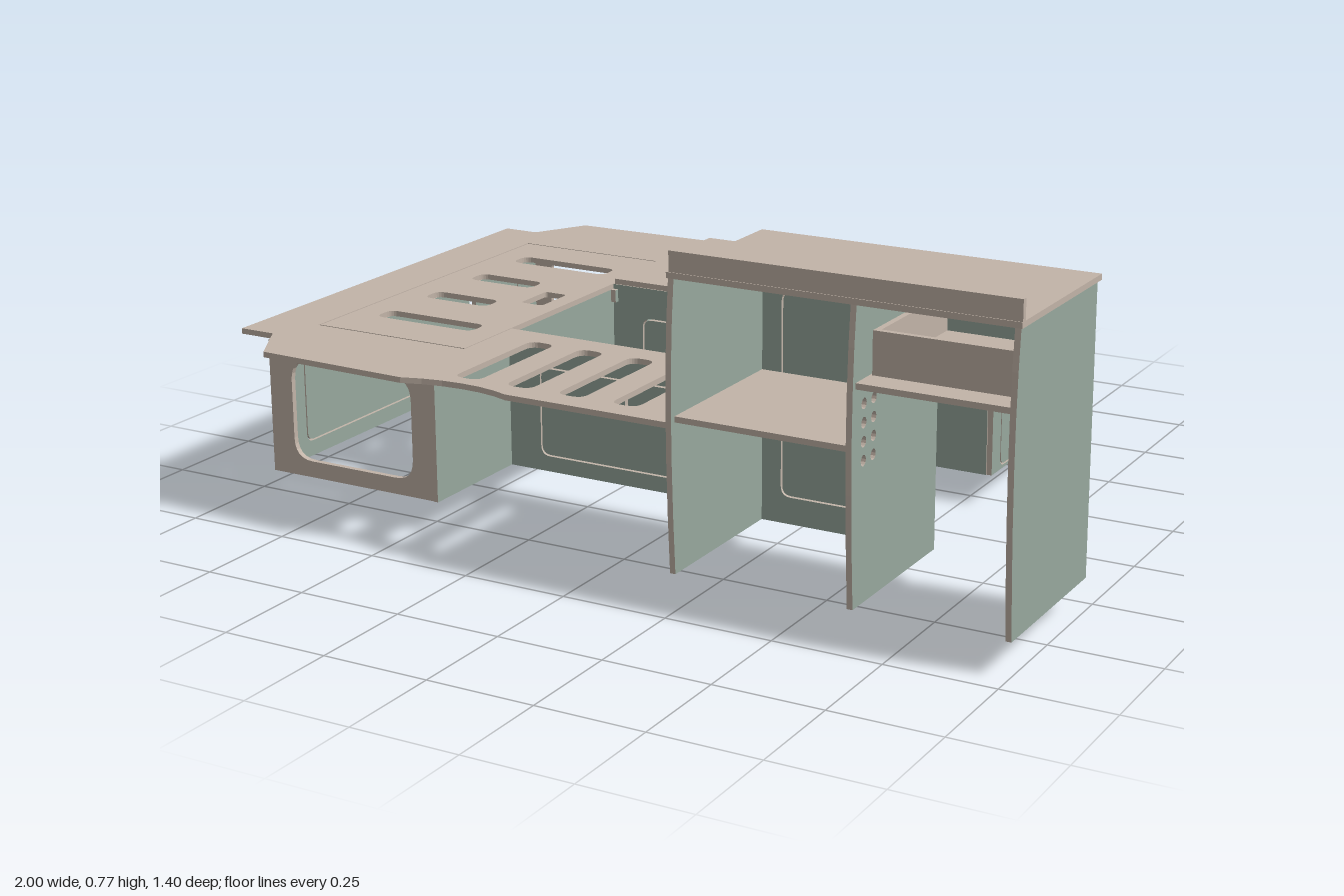
import * as THREE from 'three';

const green = new THREE.MeshStandardMaterial({ name: 'sage green', color: 0x97a89d });
const tan = new THREE.MeshStandardMaterial({ name: 'plywood tan', color: 0xc2b4a8 });
const T = 0.013; // board thickness
const GAP = 0.004;

// Rounded rectangle from corner to corner
function rounded(u0, v0, u1, v1, r, Kind = THREE.Path) {
  const p = new Kind();
  p.moveTo(u0 + r, v0);
  p.lineTo(u1 - r, v0);
  p.quadraticCurveTo(u1, v0, u1, v0 + r);
  p.lineTo(u1, v1 - r);
  p.quadraticCurveTo(u1, v1, u1 - r, v1);
  p.lineTo(u0 + r, v1);
  p.quadraticCurveTo(u0, v1, u0, v1 - r);
  p.lineTo(u0, v0 + r);
  p.quadraticCurveTo(u0, v0, u0 + r, v0);
  return p;
}
const poly = (pts) => new THREE.Shape(pts.map(([u, v]) => new THREE.Vector2(u, v)));
const rect = (u0, v0, u1, v1) => poly([[u0, v0], [u1, v0], [u1, v1], [u0, v1]]);
const slot = (u, v, w, h) => rounded(u - w / 2, v - h / 2, u + w / 2, v + h / 2, Math.min(w, h) * 0.4);

export function createModel() {
  const model = new THREE.Group();
  model.name = 'vanFurniture';

  // Board whose low face lies at `at` on the axis: x uses (z, y), y uses (x, z), z uses (x, y)
  function board(parent, name, axis, at, shape, holes = [], face = green, t = T) {
    shape.holes.push(...holes);
    const geo = new THREE.ExtrudeGeometry(shape, { depth: t, bevelEnabled: false, curveSegments: 6 });
    if (axis === 'x') geo.rotateY(-Math.PI / 2).translate(at + t, 0, 0);
    if (axis === 'y') geo.rotateX(Math.PI / 2).translate(0, at + t, 0);
    if (axis === 'z') geo.translate(0, 0, at);
    const mesh = new THREE.Mesh(geo, [face, tan]);
    mesh.name = name;
    parent.add(mesh);
    return mesh;
  }
  // Panel with a door set into it, a thin gap around the door and finger slots
  function doorPanel(parent, name, axis, at, shape, [u0, v0, u1, v1], handles) {
    board(parent, name, axis, at, shape, [rounded(u0, v0, u1, v1, 0.025)]);
    board(parent, name + 'Door', axis, at,
      rounded(u0 + GAP, v0 + GAP, u1 - GAP, v1 - GAP, 0.022, THREE.Shape),
      handles.map((h) => slot(...h)));
  }
  function group(name) {
    const g = new THREE.Group();
    g.name = name;
    model.add(g);
    return g;
  }

  // ---- Kitchen unit ----
  const kitchen = group('kitchenUnit');
  const sideShape = () => {
    const s = new THREE.Shape();
    s.moveTo(0.29, 0.073);
    s.lineTo(0.685, 0.073);
    s.quadraticCurveTo(0.713, 0.47, 0.685, 0.712);
    s.lineTo(0.29, 0.712);
    return s;
  };
  const dots = [];
  for (const z of [0.6, 0.645]) {
    for (let i = 0; i < 4; i++) dots.push(new THREE.Path().absarc(z, 0.38 + i * 0.04, 0.012, 0, Math.PI * 2));
  }
  board(kitchen, 'kitchenInnerSide', 'x', 0.225, sideShape());
  board(kitchen, 'kitchenDivider', 'x', 0.638, sideShape(), dots);
  board(kitchen, 'kitchenOuterSide', 'x', 0.985, sideShape());
  doorPanel(kitchen, 'kitchenFace', 'z', 0.29, rect(0.238, 0.073, 0.638, 0.712),
    [0.285, 0.135, 0.59, 0.605], [[0.545, 0.373, 0.055, 0.03]]);
  board(kitchen, 'kitchenShelf', 'y', 0.407, rect(0.238, 0.303, 0.638, 0.685), [], tan);
  board(kitchen, 'worktop', 'y', 0.712, rect(0.22, 0.272, 1, 0.685), [], tan);
  board(kitchen, 'worktopLip', 'z', 0.67, rect(0.225, 0.725, 1, 0.77), [], tan);

  // Drawer with its open box and runner shelf
  board(kitchen, 'drawerShelf', 'y', 0.54, rect(0.651, 0.3, 0.985, 0.685), [], tan);
  board(kitchen, 'drawerFront', 'z', 0.288, rect(0.654, 0.556, 0.982, 0.708), [slot(0.815, 0.68, 0.03, 0.05)]);
  board(kitchen, 'drawerBack', 'z', 0.62, rect(0.662, 0.557, 0.974, 0.65), [], tan);
  for (const x of [0.662, 0.961]) board(kitchen, 'drawerSide', 'x', x, rect(0.301, 0.557, 0.62, 0.65), [], tan);
  board(kitchen, 'drawerBottom', 'y', 0.56, rect(0.675, 0.301, 0.961, 0.62), [], tan, 0.008);

  // ---- Bed top: end section and front bench in one board ----
  const bed = group('bedTop');
  const top = poly([[-1, -0.56], [-0.91, -0.56], [-0.835, -0.69], [-0.45, -0.7], [-0.45, -0.45],
    [-0.862, -0.45], [-0.862, 0.442], [-0.45, 0.442], [-0.45, 0.25], [0.22, 0.25], [0.22, 0.685], [-0.18, 0.685]]);
  top.bezierCurveTo(-0.25, 0.655, -0.36, 0.655, -0.45, 0.69);
  top.lineTo(-0.835, 0.678);
  top.lineTo(-0.91, 0.55);
  top.lineTo(-1, 0.55);
  board(bed, 'bedBoard', 'y', 0.391, top,
    [-0.32, -0.187, -0.055, 0.08].map((x) => slot(x, 0.472, 0.065, 0.31)), tan);
  board(bed, 'liftOutLid', 'y', 0.391, rect(-0.858, -0.446, -0.453, 0.438), [
    slot(-0.655, -0.298, 0.27, 0.06), slot(-0.7, -0.103, 0.18, 0.06),
    slot(-0.7, 0.09, 0.18, 0.06), slot(-0.655, 0.285, 0.27, 0.06),
    rounded(-0.557, -0.062, -0.497, 0.048, 0.01),
  ], tan);

  // ---- End section base ----
  const end = group('endSectionBase');
  for (const z of [-0.56, 0.545]) {
    board(end, 'openFrame', 'z', z, rect(-0.905, 0.073, -0.46, 0.391),
      [rounded(-0.855, 0.112, -0.52, 0.352, 0.05)], tan);
  }
  doorPanel(end, 'outerPanel', 'x', -0.917, rect(-0.56, 0.073, 0.558, 0.391),
    [-0.46, 0.11, 0.45, 0.34], [[-0.25, 0.28, 0.03, 0.05], [0.25, 0.28, 0.03, 0.05]]);
  board(end, 'innerPanel', 'x', -0.466, rect(-0.565, 0.073, 0.56, 0.391));

  // ---- Front bench base ----
  const front = group('frontBenchBase');
  doorPanel(front, 'frontBenchPanel', 'z', 0.245, rect(-0.453, 0.073, 0.222, 0.391),
    [-0.37, 0.11, 0.13, 0.327], [[-0.125, 0.285, 0.03, 0.06]]);
  board(front, 'frontBenchEnd', 'x', 0.207, rect(0.258, 0.073, 0.56, 0.391));

  // ---- Back bench ----
  const back = group('backBench');
  board(back, 'backBenchTop', 'y', 0.403, rect(-0.45, -0.688, 0.57, -0.212),
    [-0.27, -0.102, 0.067, 0.235, 0.404].map((x) => slot(x, -0.45, 0.062, 0.32)), tan);
  doorPanel(back, 'backBenchPanel', 'z', -0.222, rect(-0.453, 0.073, 0.555, 0.403),
    [-0.37, 0.11, 0.06, 0.327], [[-0.15, 0.285, 0.03, 0.06]]);
  doorPanel(back, 'backBenchEnd', 'x', 0.555,
    poly([[-0.212, 0.073], [-0.212, 0.403], [-0.687, 0.403], [-0.687, 0.003], [-0.64, 0.003], [-0.64, 0.073]]),
    [-0.634, 0.08, -0.26, 0.365], [[-0.31, 0.224, 0.016, 0.022]]);
  board(back, 'backBenchDivider', 'x', 0.108, rect(-0.674, 0.073, -0.222, 0.403), [], tan);

  // Wall-side panel cut away around the wheel arch
  const arch = poly([[0.555, 0], [0.555, 0.403], [0.108, 0.403], [0.108, 0.1], [0.15, 0.1],
    [0.15, 0.073], [0.225, 0.073], [0.225, 0.04]]);
  arch.quadraticCurveTo(0.225, 0, 0.265, 0);
  board(back, 'wheelArchPanel', 'z', -0.687, arch);

  // Small cleats carrying the benches at the end section
  for (const z of [-0.21, 0.232]) board(back, 'benchCleat', 'x', -0.453, rect(z, 0.36, z + 0.013, 0.391));
  return model;
}
